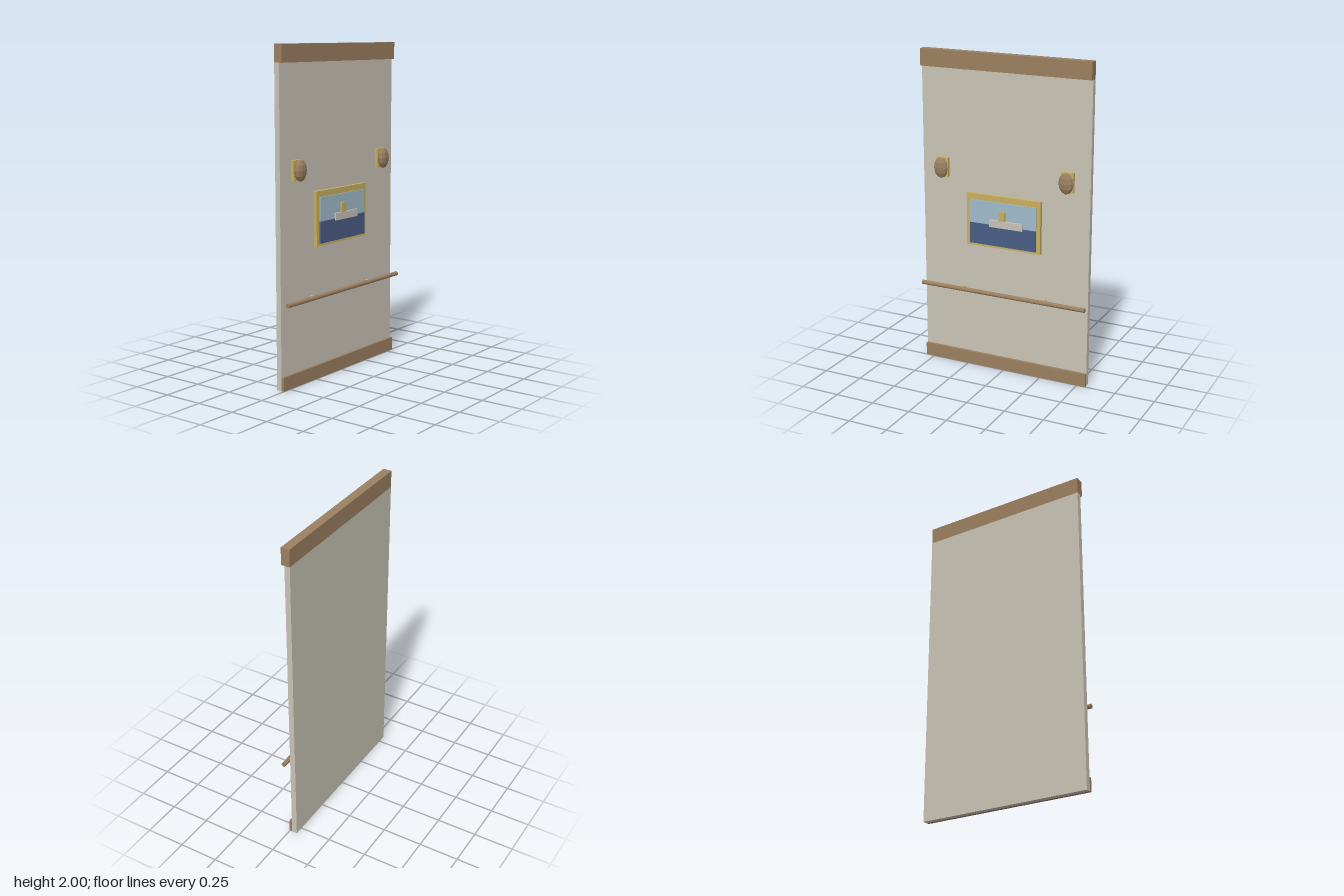
import * as THREE from 'three';

export function createModel() {
  const model = new THREE.Group();
  model.name = 'wallPanel';
  const mat = (name, color, extra = {}) => {
    const m = new THREE.MeshStandardMaterial({ color, ...extra });
    m.name = name;
    return m;
  };
  const cream = mat('creamWall', 0xc9c4b6);
  const wood = mat('wood', 0x9c8060);
  const gold = mat('gold', 0xc8b060);
  const sky = mat('skyBlue', 0xa0bccb);
  const sea = mat('seaBlue', 0x4b5d86);
  const white = mat('hullWhite', 0xc9c3ba);
  const shadeWood = wood.clone();
  shadeWood.name = 'wood';
  shadeWood.flatShading = true;

  const add = (name, geometry, material, parent = model) => {
    const mesh = new THREE.Mesh(geometry, material);
    mesh.name = name;
    parent.add(mesh);
    return mesh;
  };
  // Box given by its extents on each axis
  const box = (name, material, [x0, x1], [y0, y1], [z0, z1], parent) => {
    const mesh = add(name, new THREE.BoxGeometry(x1 - x0, y1 - y0, z1 - z0), material, parent);
    mesh.position.set((x0 + x1) / 2, (y0 + y1) / 2, (z0 + z1) / 2);
    return mesh;
  };

  // Wall with cornice and baseboard
  const W = 0.555, FACE = -0.016;
  box('wall', cream, [-W, W], [0, 1.895], [-0.05, FACE]);
  box('cornice', wood, [-W, W], [1.895, 2], [-0.05, 0.004]);
  box('baseboard', wood, [-W, W], [0, 0.083], [FACE, 0.002]);

  // Framed seascape
  const picture = new THREE.Group();
  picture.name = 'picture';
  model.add(picture);
  box('frame', gold, [-0.247, 0.247], [0.81, 1.14], [FACE, 0.006], picture);
  box('sky', sky, [-0.221, 0.221], [0.958, 1.103], [0.004, 0.013], picture);
  box('sea', sea, [-0.221, 0.221], [0.826, 0.958], [0.004, 0.017], picture);
  box('shipHull', white, [-0.085, 0.135], [0.947, 0.992], [0.012, 0.025], picture);
  box('shipFunnel', gold, [-0.022, 0.02], [0.992, 1.05], [0.012, 0.025], picture);

  // Wall lamps and rail brackets, mirrored
  for (const s of [-1, 1]) {
    const lamp = new THREE.Group();
    lamp.name = s > 0 ? 'leftLamp' : 'rightLamp';
    lamp.position.set(s * 0.415, 1.281, 0);
    model.add(lamp);
    box('lampPlate', gold, [-0.039, 0.039], [-0.06, 0.06], [FACE, 0.003], lamp);
    const shade = add('lampShade', new THREE.SphereGeometry(1, 10, 6), shadeWood, lamp);
    shade.scale.set(0.048, 0.065, 0.026);
    shade.position.z = 0.022;

    const bracket = add('railBracket', new THREE.CylinderGeometry(0.006, 0.006, 0.047, 8), gold);
    bracket.rotation.x = Math.PI / 2;
    bracket.position.set(s * 0.278, 0.515, 0.0075);
  }

  // Handrail
  const rail = add('handrail', new THREE.CylinderGeometry(0.0145, 0.0145, 2 * W, 8), wood);
  rail.rotation.z = Math.PI / 2;
  rail.position.set(0, 0.515, 0.032);

  return model;
}
